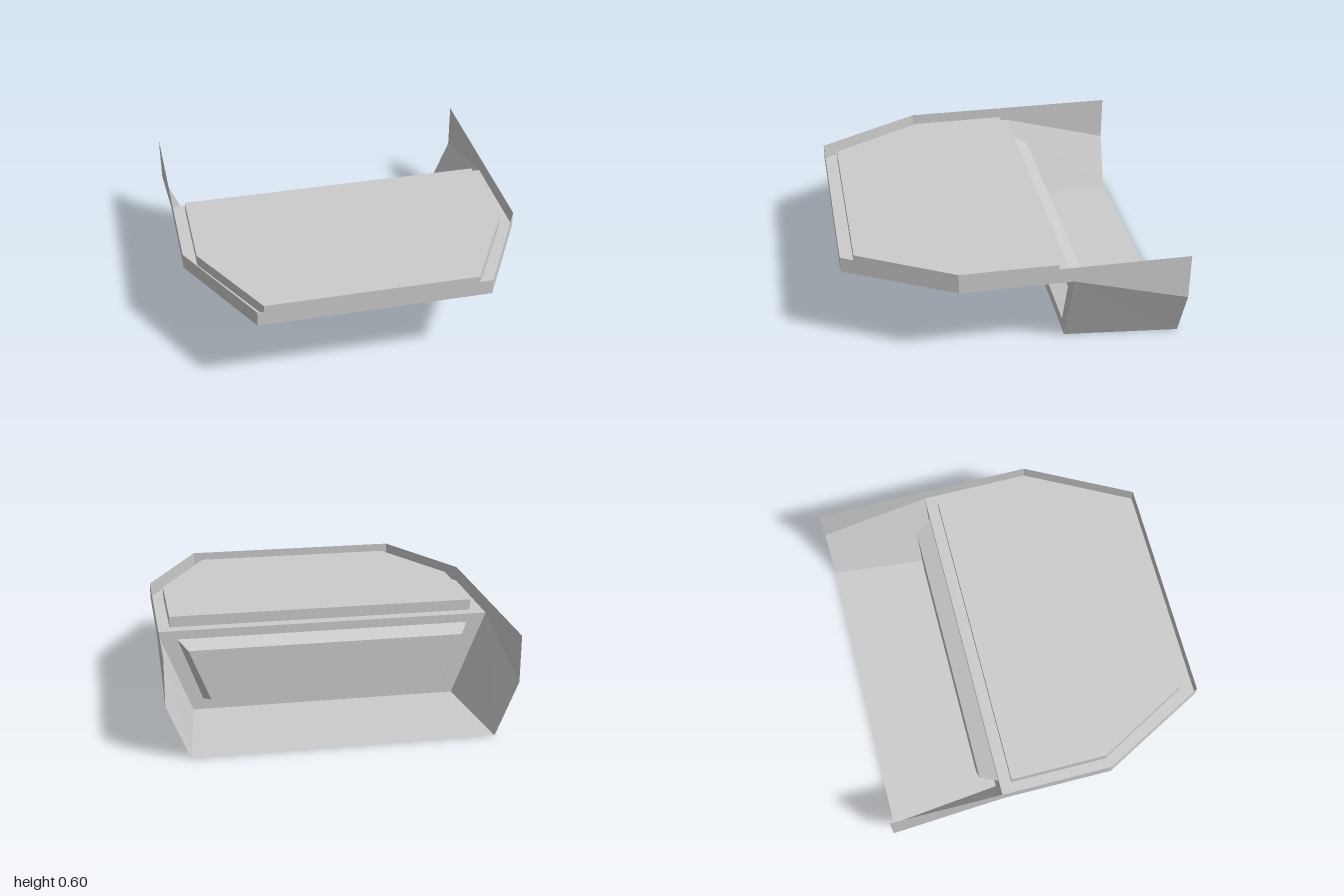
import * as THREE from 'three';

const material = new THREE.MeshStandardMaterial({
  color: 0xcccccc, flatShading: true, side: THREE.DoubleSide,
});

// Flat-shaded mesh from a list of [x, y, z] polygons, each cut into a fan
function sheet(name, polygons) {
  const positions = [];
  for (const p of polygons) {
    for (let i = 1; i < p.length - 1; i++) positions.push(...p[0], ...p[i], ...p[i + 1]);
  }
  const geometry = new THREE.BufferGeometry();
  geometry.setAttribute('position', new THREE.Float32BufferAttribute(positions, 3));
  geometry.computeVertexNormals();
  const mesh = new THREE.Mesh(geometry, material);
  mesh.name = name;
  return mesh;
}

// Quads joining two outlines with the same number of points
function band(a, b, closed = true) {
  const quads = [];
  const n = closed ? a.length : a.length - 1;
  for (let i = 0; i < n; i++) {
    const j = (i + 1) % a.length;
    quads.push([a[i], a[j], b[j], b[i]]);
  }
  return quads;
}

// Six-sided plan outline, open to mirroring in x
function plan(side, nose, back, shoulder, front, y) {
  const half = [[side, y, back], [side, y, shoulder], [nose, y, front]];
  return [...half, ...half.map(([x, h, z]) => [-x, h, z]).reverse()];
}

// Upright trapezium outline
const trapezium = (top, yTop, bottom, yBottom, z) => [
  [-bottom, yBottom, z], [bottom, yBottom, z], [top, yTop, z], [-top, yTop, z],
];

export function createModel() {
  const model = new THREE.Group();
  const low = 0.508, high = 0.6, deckY = 0.574, back = -0.97, face = -0.3;

  // Platform: upright rim, sunken channel and raised deck
  const platform = new THREE.Group();
  platform.name = 'platform';
  const outer = (y) => plan(1, 0.67, face, 0.35, 0.97, y);
  const inner = (y) => plan(0.92, 0.62, -0.23, 0.34, 0.89, y);
  platform.add(
    sheet('platformRim', band(outer(low), outer(high), false)),
    sheet('channelFloor', band(outer(low), inner(low))),
    sheet('deckSides', band(inner(low), inner(deckY))),
    sheet('deck', [inner(deckY)]),
  );
  model.add(platform);

  // Radiating bars on the underside of the deck
  const bars = new THREE.Group();
  bars.name = 'undersideBars';
  for (let i = -3; i <= 3; i++) {
    const angle = (i * Math.PI) / 7;
    const bar = new THREE.Mesh(new THREE.BoxGeometry(0.022, 0.016, 0.26), material);
    bar.name = 'undersideBar';
    bar.position.set(0.5 * Math.sin(angle), deckY - 0.009, 0.18 + 0.5 * Math.cos(angle));
    bar.rotation.y = angle;
    bars.add(bar);
  }
  model.add(bars);

  // Front wall: frame, bevel and recessed panel
  const frontWall = new THREE.Group();
  frontWall.name = 'frontWall';
  const frame = trapezium(1, low, 0.8, 0, face);
  const opening = trapezium(0.88, 0.455, 0.74, 0.07, face);
  const recess = trapezium(0.825, 0.415, 0.7, 0.1, -0.4);
  frontWall.add(
    sheet('frontFrame', band(frame, opening)),
    sheet('recessBevel', band(opening, recess)),
    sheet('recessPanel', [recess]),
  );
  model.add(frontWall);

  // Floor behind the front wall
  model.add(sheet('floor', [[
    [-0.8, 0, face], [0.8, 0, face], [0.87, 0, back], [-0.87, 0, back],
  ]]));

  // Side walls: leaning lower part and upright upper part
  for (const [s, side] of [[1, 'left'], [-1, 'right']]) {
    model.add(
      sheet(side + 'LowerWall', [[
        [s, low, face], [s, 0.32, back], [s * 0.87, 0, back], [s * 0.8, 0, face],
      ]]),
      sheet(side + 'UpperWall', [[
        [s, low, face], [s, 0.32, back], [s, high, back], [s, high, face],
      ]]),
    );
  }
  return model;
}
